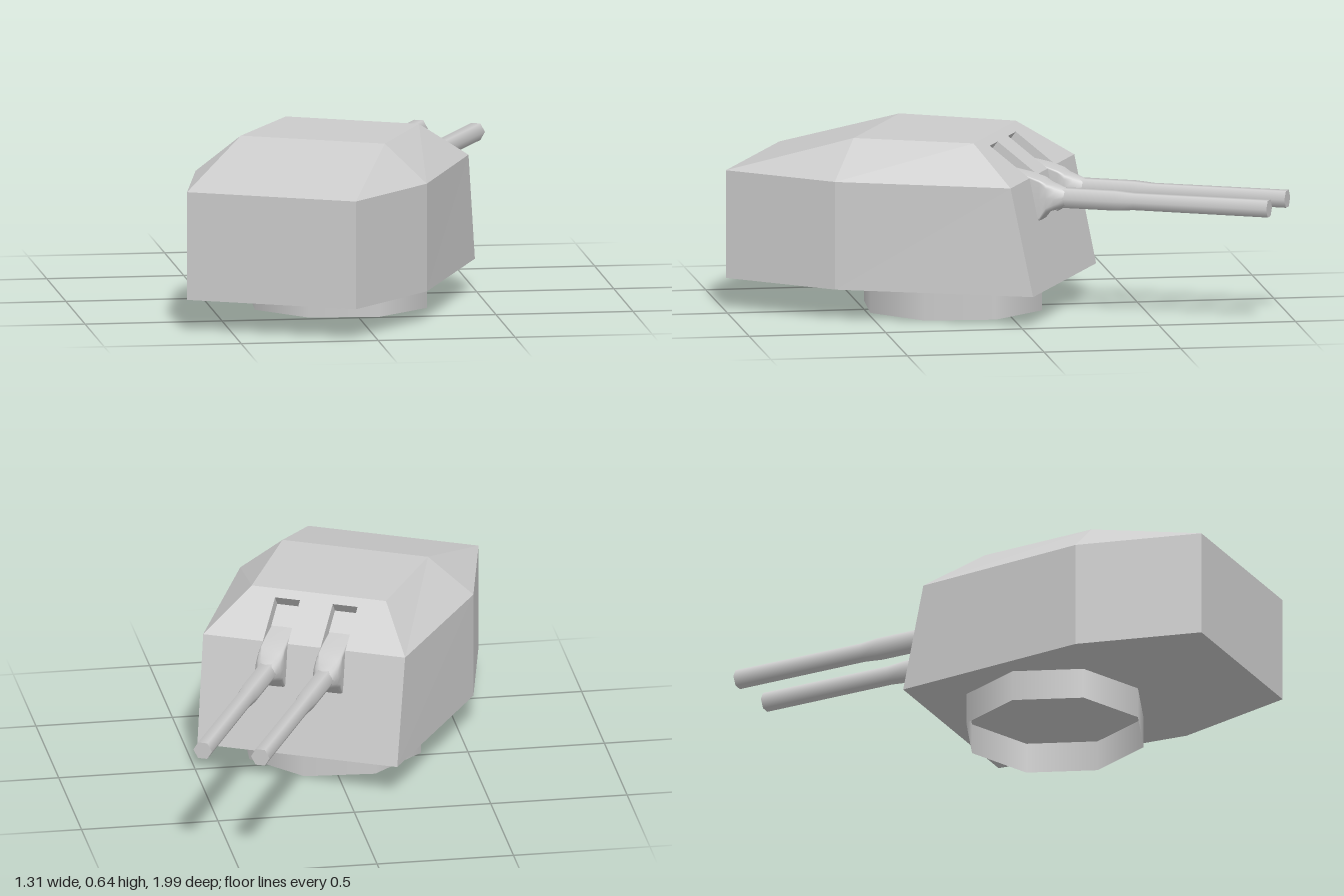
import * as THREE from 'three';

const grey = new THREE.MeshStandardMaterial({ color: 0xcccccc });
const flat = new THREE.MeshStandardMaterial({ color: 0xcccccc, flatShading: true, side: THREE.DoubleSide });
const open = new THREE.MeshStandardMaterial({ color: 0xcccccc, side: THREE.DoubleSide });

const GUN_X = 0.109, GUN_Y = 0.438, SLOT_HALF = 0.047, SLOT_TOP = 0.83;

function mesh(name, geometry, material) {
  const m = new THREE.Mesh(geometry, material);
  m.name = name;
  return m;
}

// Geometry from four-cornered faces; a repeated last corner makes a triangle
function fromQuads(quads) {
  const pos = [];
  for (const [a, b, c, d] of quads) {
    pos.push(...a, ...b, ...c);
    if (c !== d) pos.push(...a, ...c, ...d);
  }
  const g = new THREE.BufferGeometry();
  g.setAttribute('position', new THREE.Float32BufferAttribute(pos, 3));
  g.computeVertexNormals();
  return g;
}

// Point on the sloped upper front, s = 0 at its lower edge, 1 at the roof
const onSlope = (x, s, depth = 0) =>
  [x, 0.51 + 0.135 * s - 0.8 * depth, -0.174 + 0.181 * s + 0.6 * depth];

function hullGeometry() {
  const ring = (y, frontX, frontZ) => [
    [-0.322, y, 0.925], [0.322, y, 0.925], [0.441, y, 0.474],
    [frontX, y, frontZ], [-frontX, y, frontZ], [-0.441, y, 0.474]];
  const low = ring(0.115, 0.378, -0.258);
  const top = ring(0.51, 0.382, -0.174);
  const roof = [[-0.275, 0.645, 0.455], [0.275, 0.645, 0.455], [0.254, 0.645, 0.007], [-0.254, 0.645, 0.007]];
  const roofOf = [0, 1, 1, 2, 3, 0].map((i) => roof[i]);
  const quads = [roof, [low[3], low[2], low[1], low[0]], [low[0], low[5], low[4], low[3]]];
  for (let i = 0; i < 6; i++) {
    const j = (i + 1) % 6;
    quads.push([low[i], low[j], top[j], top[i]]);
    // The sloped front is a separate notched plate
    if (i !== 3) quads.push([top[i], top[j], roofOf[j], roofOf[i]]);
  }
  return fromQuads(quads);
}

// Sloped front plate with two notches for the guns
function frontPlateGeometry() {
  const outline = [[-0.382, 0]];
  for (const cx of [-GUN_X, GUN_X]) {
    const l = cx - SLOT_HALF, r = cx + SLOT_HALF;
    outline.push([l, 0], [l, SLOT_TOP], [r, SLOT_TOP], [r, 0]);
  }
  outline.push([0.382, 0], [0.254, 1], [-0.254, 1]);
  const g = new THREE.ShapeGeometry(new THREE.Shape(outline.map((p) => new THREE.Vector2(...p))));
  const p = g.attributes.position;
  for (let i = 0; i < p.count; i++) p.setXYZ(i, ...onSlope(-p.getX(i), p.getY(i)));
  g.computeVertexNormals();
  return g;
}

// Floor, sides and end of one gun slot
function slotGeometry() {
  const d = 0.045, h = SLOT_HALF, t = SLOT_TOP;
  const P = onSlope;
  return fromQuads([
    [P(h, 0, d), P(-h, 0, d), P(-h, t, d), P(h, t, d)],
    [P(h, 0), P(h, 0, d), P(h, t, d), P(h, t)],
    [P(-h, 0, d), P(-h, 0), P(-h, t), P(-h, t, d)],
    [P(-h, t), P(h, t), P(h, t, d), P(-h, t, d)],
  ]);
}

// Collar blending from a square block into the round barrel
function mantletGeometry() {
  // distance forward, half width, bottom, top, roundness
  const sections = [
    [0.08, 0.046, 0.355, 0.535, 0.1], [0.16, 0.046, 0.355, 0.52, 0.1], [0.21, 0.048, 0.355, 0.505, 0.15],
    [0.235, 0.05, 0.385, 0.492, 0.4], [0.265, 0.048, 0.393, 0.484, 0.7], [0.3, 0.037, 0.403, 0.473, 1]];
  const n = 16, pos = [], index = [];
  const pow = (v, e) => Math.sign(v) * Math.abs(v) ** e;
  sections.forEach(([w, hw, lo, hi, e], k) => {
    for (let i = 0; i < n; i++) {
      const a = (i / n) * Math.PI * 2;
      const c = Math.round(Math.cos(a) * 1e6) / 1e6, s = Math.round(Math.sin(a) * 1e6) / 1e6;
      pos.push(hw * pow(c, e), (lo + hi) / 2 + ((hi - lo) / 2) * pow(s, e), -w);
      const j = (i + 1) % n;
      if (k) {
        const A = (k - 1) * n, B = k * n;
        index.push(A + i, B + j, A + j, A + i, B + i, B + j);
      }
    }
  });
  const g = new THREE.BufferGeometry();
  g.setAttribute('position', new THREE.Float32BufferAttribute(pos, 3));
  g.setIndex(index);
  g.computeVertexNormals();
  return g;
}

// Six-sided barrel with a thicker rear sleeve
function barrelGeometry() {
  const profile = [[0.04, 0.2], [0.04, 0.49], [0.034, 0.56], [0.035, 1.068]];
  return new THREE.LatheGeometry(profile.map((p) => new THREE.Vector2(...p)), 6)
    .rotateY(Math.PI / 2).rotateX(-Math.PI / 2);
}

export function createModel() {
  const model = new THREE.Group();
  model.name = 'gunTurret';

  // The whole turret is trained to one side
  const turret = new THREE.Group();
  turret.name = 'turret';
  turret.rotation.y = -Math.atan(0.5);
  turret.position.set(0.045, 0, 0.022);
  model.add(turret);

  turret.add(mesh('hull', hullGeometry(), flat));
  turret.add(mesh('frontPlate', frontPlateGeometry(), flat));

  // Open eight-sided base ring
  const ring = mesh('baseRing', new THREE.CylinderGeometry(0.337, 0.337, 0.117, 8, 1, true), open);
  ring.position.set(0, 0.0585, 0.165);
  turret.add(ring);

  for (const side of [-1, 1]) {
    const gun = new THREE.Group();
    gun.name = side > 0 ? 'rightGun' : 'leftGun';
    gun.position.x = side * GUN_X;
    gun.add(mesh('slot', slotGeometry(), flat));
    gun.add(mesh('mantlet', mantletGeometry(), open));
    const barrel = mesh('barrel', barrelGeometry(), grey);
    barrel.position.y = GUN_Y;
    const muzzle = mesh('muzzle', new THREE.CircleGeometry(0.035, 6).rotateY(Math.PI), grey);
    muzzle.position.set(0, GUN_Y, -1.068);
    gun.add(barrel, muzzle);
    turret.add(gun);
  }
  return model;
}
